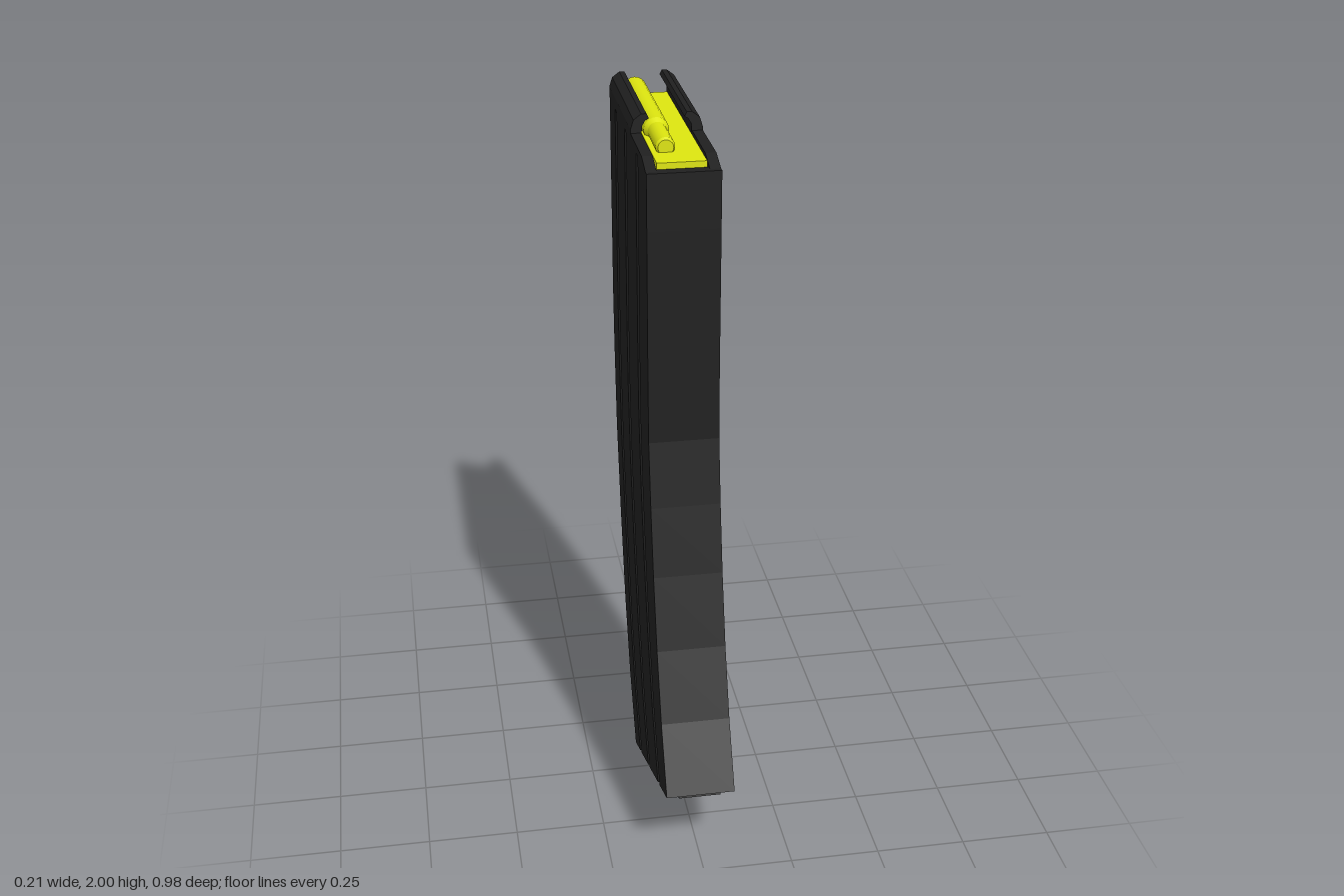
import * as THREE from 'three';

const CX = -0.009;      // middle of the body across x
const HALF = 0.094;     // outer half width
const INNER = 0.066;    // inner half width

// Stations from top to bottom: front z, front y, back z, back y
const STATIONS = [
  [0.2, 1.93, -0.485, 1.93], [0.2, 1.9, -0.485, 1.9],
  [0.2, 1.78, -0.485, 1.78], [0.2, 1.71, -0.485, 1.71],
  [0.2, 1.39, -0.485, 1.37], [0.205, 1.2, -0.475, 1.2],
  [0.235, 1.02, -0.45, 0.95], [0.275, 0.83, -0.39, 0.68],
  [0.33, 0.63, -0.315, 0.41], [0.4, 0.44, -0.23, 0.2], [0.49, 0.26, -0.12, 0.01],
];
const WINDOW_ROW = 2, WINDOW_U = 0.6;

// Half cross-section, front to back: [u along depth, half width]
function halfSection() {
  const p = [[0, HALF]];
  for (const g of [0.235, 0.535, 0.8]) {
    p.push([g - 0.024, HALF], [g - 0.012, HALF - 0.009], [g + 0.012, HALF - 0.009], [g + 0.024, HALF]);
    if (g === 0.535) p.push([WINDOW_U, HALF], [0.73, HALF]);
  }
  p.push([0.978, HALF], [1, 0.066]);
  return p;
}

// Hollow curved shell with grooved sides and a window on the left
function shellGeometry() {
  const half = halfSection();
  const ring = [...half, ...half.map(([u, x]) => [u, -x]).reverse()];
  const n = ring.length;
  const windowCol = half.findIndex(([u]) => u === WINDOW_U);
  const point = (i, j, inside) => {
    let [u, x] = ring[i % n];
    if (inside) {
      u = THREE.MathUtils.clamp(u, 0.045, 0.955);
      x = Math.sign(x) * INNER;
    } else if (j === 0 && u < 0.9) x = Math.sign(x) * HALF; // grooves fade out at the top
    const [fz, fy, bz, by] = STATIONS[j];
    return [x, fy + (by - fy) * u, fz + (bz - fz) * u];
  };
  const pos = [];
  const quad = (a, b, c, d) => pos.push(...a, ...b, ...c, ...a, ...c, ...d);
  for (let i = 0; i < n; i++) {
    quad(point(i, 0, false), point(i + 1, 0, false), point(i + 1, 0, true), point(i, 0, true));
    for (let j = 0; j < STATIONS.length - 1; j++) {
      const corners = [[i, j], [i, j + 1], [i + 1, j + 1], [i + 1, j]];
      const out = corners.map(([a, b]) => point(a, b, false));
      const inn = corners.map(([a, b]) => point(a, b, true));
      if (i === windowCol && j === WINDOW_ROW) {
        for (let k = 0; k < 4; k++) quad(out[k], out[(k + 1) % 4], inn[(k + 1) % 4], inn[k]);
      } else {
        quad(...out);
        quad(...inn.reverse());
      }
    }
  }
  const g = new THREE.BufferGeometry();
  g.setAttribute('position', new THREE.Float32BufferAttribute(pos, 3));
  g.computeVertexNormals();
  return g;
}

function extrude(points, depth) {
  const shape = new THREE.Shape(points.map(([x, y]) => new THREE.Vector2(x, y)));
  return new THREE.ExtrudeGeometry(shape, { depth, bevelEnabled: false });
}

export function createModel() {
  const model = new THREE.Group();
  const black = new THREE.MeshStandardMaterial({ color: 0x202020, flatShading: true, side: THREE.DoubleSide });
  const yellow = new THREE.MeshStandardMaterial({ color: 0xdde510 });
  const add = (name, geometry, material, x = 0, y = 0, z = 0, parent = model) => {
    const m = new THREE.Mesh(geometry, material);
    m.name = name;
    m.position.set(x, y, z);
    parent.add(m);
    return m;
  };

  add('bodyShell', shellGeometry(), black, CX);

  // Curled top lips at the back and low side rims at the front
  for (const s of [1, -1]) {
    const lip = [[0.094, 1.93], [0.094, 1.96], [0.086, 1.985], [0.066, 2], [0.052, 2], [0.046, 1.988],
      [0.056, 1.982], [0.064, 1.968], [0.066, 1.93]].map(([x, y]) => [x * s, y]);
    add(s > 0 ? 'leftLip' : 'rightLip', extrude(lip, 0.407), black, CX, 0, -0.477);
    // Profile drawn as (-z, y), turned to run across x
    const rim = extrude([[0.07, 1.93], [0.07, 1.95], [-0.12, 1.95], [-0.185, 1.93]], HALF - INNER);
    rim.rotateY(Math.PI / 2);
    add(s > 0 ? 'leftRim' : 'rightRim', rim, black, CX + (s > 0 ? INNER : -HALF));
  }

  // Floor plate with cross tabs, tilted along the bottom edge
  const floor = new THREE.Group();
  floor.name = 'floor';
  floor.position.set(CX, 0.135, 0.185);
  floor.rotation.x = -Math.atan2(0.25, 0.61);
  model.add(floor);
  add('floorPlate', new THREE.BoxGeometry(0.18, 0.024, 0.65), black, 0, 0.014, 0, floor);
  for (const [z, length] of [[0.285, 0.05], [-0.1, 0.045], [-0.302, 0.04]]) {
    add('floorTab', new THREE.BoxGeometry(0.115, 0.02, length), black, 0, 0, z, floor);
  }

  // Bulged catch under the window
  const bump = extrude([[0.078, 0.21], [0.088, 0.212], [0.098, 0.23], [0.103, 0.248], [0.103, 0.272],
    [0.098, 0.29], [0.088, 0.308], [0.078, 0.31]], 0.1);
  bump.rotateX(-Math.PI / 2);
  add('catch', bump, black, 0, 1.615, 0);

  // Follower block with its round stepped ridge
  add('follower', new THREE.BoxGeometry(0.126, 0.14, 0.617), yellow, CX, 1.875, -0.1435);
  const profile = [[0, -0.455], [0.033, -0.455], [0.033, -0.07], [0.025, -0.055], [0.025, 0.075], [0.02, 0.083], [0, 0.083]];
  // Each profile step gets its own lathe so the edges stay sharp
  for (let i = 0; i < profile.length - 1; i++) {
    const pts = [profile[i], profile[i + 1]].map(([r, h]) => new THREE.Vector2(r, h));
    const ridge = new THREE.LatheGeometry(pts, 20);
    ridge.rotateX(Math.PI / 2);
    add('followerRidge', ridge, yellow, -0.036, 1.957, 0);
  }
  return model;
}
